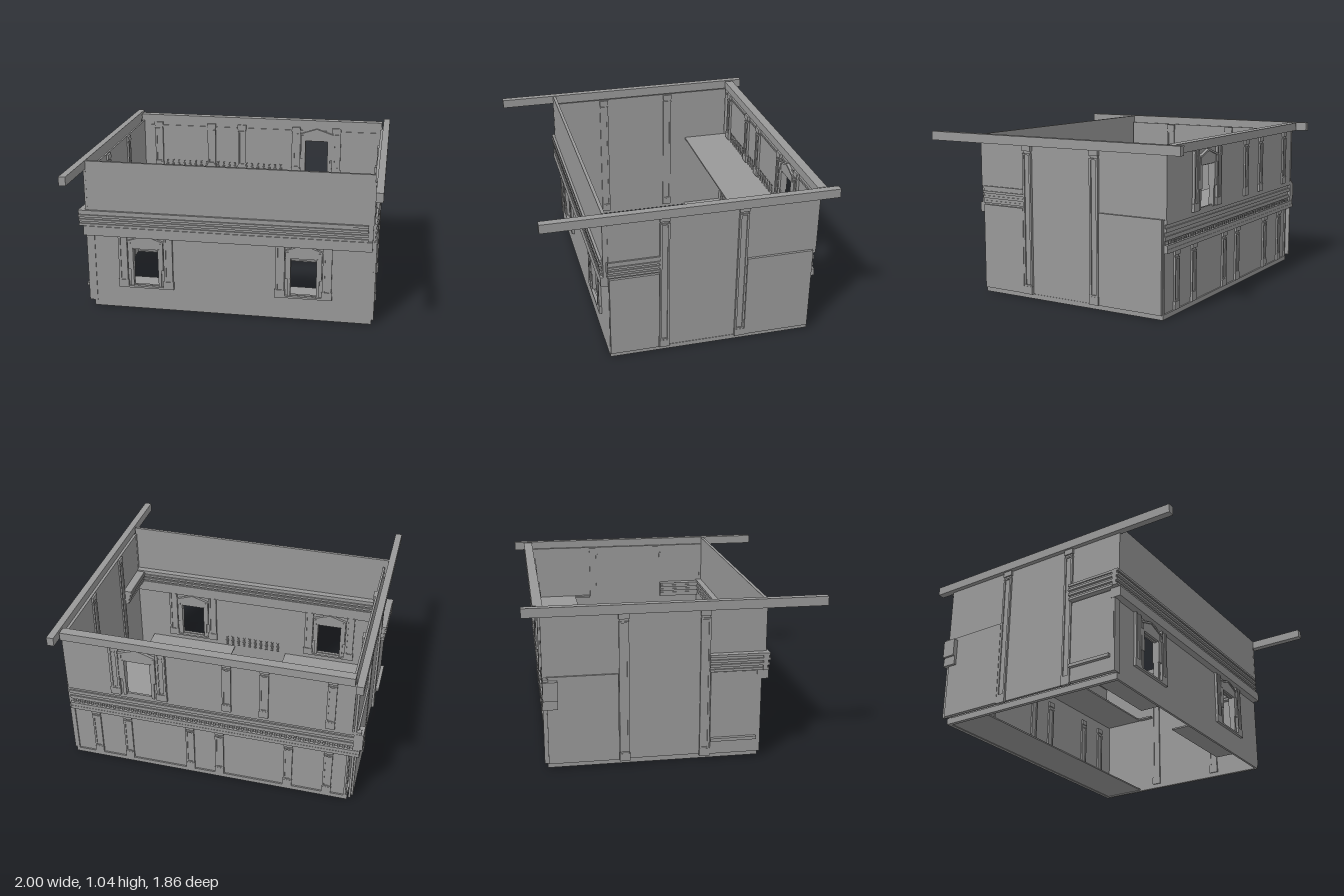
import * as THREE from 'three';

const material = new THREE.MeshStandardMaterial({ color: 0x999999, flatShading: true, side: THREE.DoubleSide });

export function createModel() {
  const model = new THREE.Group();

  // Box given by its limits on each axis
  function box(name, x0, x1, y0, y1, z0, z1, parent = model) {
    const mesh = new THREE.Mesh(new THREE.BoxGeometry(x1 - x0, y1 - y0, z1 - z0), material);
    mesh.position.set((x0 + x1) / 2, (y0 + y1) / 2, (z0 + z1) / 2);
    mesh.name = name;
    parent.add(mesh);
    return mesh;
  }

  // Group whose local +z points out of a wall
  function place(name, x, y, z, turn) {
    const group = new THREE.Group();
    group.name = name;
    group.position.set(x, y, z);
    group.rotation.y = turn;
    model.add(group);
    return group;
  }
  const FRONT = 0, BACK = Math.PI, PLUS_X = Math.PI / 2, MINUS_X = -Math.PI / 2;

  // Wall facing z, with rectangular openings [x0, x1, y0, y1]
  function wall(name, x0, x1, y0, y1, z0, z1, openings = []) {
    const shape = new THREE.Shape();
    shape.moveTo(x0, y0).lineTo(x1, y0).lineTo(x1, y1).lineTo(x0, y1).closePath();
    for (const [a, b, c, d] of openings) {
      const hole = new THREE.Path();
      hole.moveTo(a, c).lineTo(a, d).lineTo(b, d).lineTo(b, c).closePath();
      shape.holes.push(hole);
    }
    const mesh = new THREE.Mesh(new THREE.ExtrudeGeometry(shape, { depth: z1 - z0, bevelEnabled: false }), material);
    mesh.position.z = z0;
    mesh.name = name;
    model.add(mesh);
  }

  // Pilaster: shaft with raised edges, base block and stepped capital
  function pilaster(name, x, y, z, turn, height, width = 0.06, depth = 0.01) {
    const g = place(name, x, y, z, turn);
    const w = width / 2;
    box('shaft', -w * 0.85, w * 0.85, 0, height, -0.003, depth * 0.55, g);
    for (const s of [-1, 1]) {
      const c = s * w * 0.75;
      box('shaftEdge', c - w * 0.2, c + w * 0.2, 0.05, height - 0.05, -0.003, depth, g);
    }
    box('base', -w, w, 0, 0.05, -0.003, depth * 1.2, g);
    box('baseRing', -w * 0.95, w * 0.95, 0.05, 0.06, -0.003, depth * 1.1, g);
    box('capitalNeck', -w * 0.95, w * 0.95, height - 0.06, height - 0.05, -0.003, depth * 1.1, g);
    box('capital', -w, w, height - 0.035, height, -0.003, depth * 1.2, g);
  }

  // Cornice: stepped profile of [out, y] points swept along a wall
  function cornice(name, x, z, turn, length, y0, outs, step) {
    const g = place(name, x, 0, z, turn);
    const points = [[0, y0]];
    outs.forEach((o, i) => points.push([o, y0 + i * step], [o, y0 + (i + 1) * step]));
    points.push([0, y0 + outs.length * step]);
    const shape = new THREE.Shape(points.map(([o, y]) => new THREE.Vector2(o, y)));
    const geo = new THREE.ExtrudeGeometry(shape, { depth: length, bevelEnabled: false });
    geo.translate(0, 0, -length / 2).rotateY(-Math.PI / 2);
    const mesh = new THREE.Mesh(geo, material);
    mesh.name = 'moulding';
    g.add(mesh);
  }

  // Opening surround: pilasters, jambs, sill and a gabled head
  function surround(name, x, y, z, turn, sill = true) {
    const g = place(name, x, y, z, turn);
    for (const s of [-1, 1]) {
      const span = (a, b) => [Math.min(s * a, s * b), Math.max(s * a, s * b)];
      box('sidePilaster', ...span(0.125, 0.185), 0, 0.37, -0.003, 0.01, g);
      for (const a of [0.125, 0.17]) box('sidePilasterEdge', ...span(a, a + 0.015), 0.05, 0.37, -0.003, 0.017, g);
      box('sidePilasterBase', ...span(0.12, 0.19), 0, 0.05, -0.003, 0.018, g);
      box('jamb', ...span(0.085, 0.12), 0.13, 0.28, -0.003, 0.016, g);
      box('lowerJamb', ...span(0.085, 0.105), 0, 0.13, -0.003, 0.01, g);
      box('bracket', ...span(0.1, 0.12), 0.28, 0.32, -0.003, 0.018, g);
    }
    const head = new THREE.Shape();
    head.moveTo(-0.12, 0.30).lineTo(-0.11, 0.275).lineTo(0.11, 0.275).lineTo(0.12, 0.30);
    head.lineTo(0.12, 0.325).lineTo(0, 0.365).lineTo(-0.12, 0.325).closePath();
    const mesh = new THREE.Mesh(new THREE.ExtrudeGeometry(head, { depth: 0.014, bevelEnabled: false }), material);
    mesh.name = 'gabledHead';
    g.add(mesh);
    for (const s of [-1, 1]) {
      const rake = box('rake', -0.065, 0.065, -0.006, 0.006, 0, 0.02, g);
      rake.position.set(s * 0.06, 0.345, 0.01);
      rake.rotation.z = -s * 0.32;
    }
    if (sill) box('sill', -0.19, 0.19, -0.005, 0.008, -0.003, 0.018, g);
  }

  // Row of small turned balusters
  function balustrade(name, x, y, z, turn, length, count) {
    const g = place(name, x, y, z, turn);
    const outline = [[0.01, 0], [0.006, 0.015], [0.011, 0.035], [0.005, 0.06], [0.01, 0.075]]
      .map(([r, h]) => new THREE.Vector2(r, h));
    const geo = new THREE.LatheGeometry(outline, 8);
    for (let i = 0; i < count; i++) {
      const mesh = new THREE.Mesh(geo, material);
      mesh.position.x = (i / (count - 1) - 0.5) * length;
      mesh.name = 'baluster';
      g.add(mesh);
    }
  }

  // Front wall: lower storey with two windows, plain upper storey
  const windows = [-0.56, 0.5];
  wall('frontLowerWall', -0.925, 0.945, 0, 0.6, 0.51, 0.525,
    windows.map((x) => [x - 0.085, x + 0.085, 0.16, 0.43]));
  wall('frontUpperWall', -0.95, 0.94, 0.59, 1.035, 0.535, 0.555);
  for (const x of windows) {
    surround('frontWindowSurround', x, 0.16, 0.525, FRONT);
    surround('innerWindowSurround', x, 0.16, 0.51, BACK);
  }
  box('frontCornerStrip', -0.965, -0.91, 0.04, 0.53, 0.505, 0.53);

  // Front cornice, outside and inside, with side returns
  box('frontFascia', -0.97, 0.94, 0.525, 0.59, 0.5, 0.572);
  const frontSteps = [0.036, 0.026, 0.04, 0.03, 0.045, 0.034, 0.042];
  cornice('frontCornice', -0.045, 0.53, FRONT, 1.91, 0.59, frontSteps, 0.0157);
  cornice('frontInnerCornice', 0.01, 0.535, BACK, 1.84, 0.59, frontSteps, 0.0157);
  cornice('rightCorniceReturn', -0.955, 0.365, MINUS_X, 0.33, 0.59, frontSteps, 0.0157);
  cornice('leftCorniceReturn', 0.945, 0.365, PLUS_X, 0.33, 0.59,
    [0.014, 0.009, 0.017, 0.01, 0.02, 0.012, 0.016], 0.0157);
  cornice('leftInnerCorniceReturn', 0.935, 0.36, MINUS_X, 0.32, 0.58,
    [0.035, 0.045, 0.04, 0.055, 0.05, 0.065, 0.06], 0.0157);
  box('rightSideSill', -0.99, -0.94, 0.13, 0.15, 0.21, 0.5);

  // Back wall: lower storey, upper storey with a doorway
  wall('backLowerWall', -0.925, 0.945, 0, 0.6, -0.79, -0.775);
  wall('backUpperWall', -0.93, 0.945, 0.57, 1.0, -0.82, -0.806, [[0.365, 0.535, 0.61, 0.87]]);
  surround('backDoorSurround', 0.45, 0.6, -0.82, BACK, false);
  surround('innerDoorSurround', 0.45, 0.6, -0.806, FRONT, false);
  for (const x of [-0.79, -0.37, -0.13, 0.29, 0.6]) {
    pilaster('backUpperPilaster', x, 0.6, -0.82, BACK, 0.38, 0.06, 0.011);
    pilaster('innerUpperPilaster', x, 0.61, -0.806, FRONT, 0.37, 0.065, 0.016);
  }
  for (const x of [-0.79, -0.53, -0.07, 0.13, 0.56, 0.78]) {
    pilaster('backLowerPilaster', x, 0.03, -0.79, BACK, 0.37, 0.06, 0.012);
    pilaster('innerLowerPilaster', x, 0.03, -0.775, FRONT, 0.5, 0.06, 0.012);
  }
  box('backTopTrim', -0.925, 0.94, 0.98, 1.035, -0.86, -0.8);
  box('innerPictureRail', -0.9, 0.93, 0.945, 0.955, -0.808, -0.799);

  // Back cornice with dentils and an end return
  cornice('backCornice', -0.02, -0.785, BACK, 1.93, 0.4,
    [0.04, 0.038, 0.018, 0.026, 0.018, 0.03, 0.02, 0.033], 0.0245);
  box('backCorniceReturn', -1, -0.94, 0.46, 0.58, -0.82, -0.73);
  box('backCorniceReturnStep', -0.985, -0.94, 0.4, 0.46, -0.82, -0.73);
  for (let i = 0; i < 60; i++) {
    const x = -0.92 + i * 0.031;
    box('dentil', x, x + 0.015, 0.452, 0.468, -0.815, -0.785);
  }

  // Side walls: single left wall, double-skinned right wall
  box('leftWall', 0.932, 0.95, 0, 0.985, -0.8, 0.525);
  box('leftWallFrontUpper', 0.93, 0.945, 0.7, 0.985, 0.52, 0.556);
  box('leftWallBackUpper', 0.93, 0.95, 0.6, 0.985, -0.82, -0.79);
  box('rightOuterWall', -0.955, -0.94, 0.04, 0.985, -0.82, 0.525);
  box('rightInnerWall', -0.918, -0.905, 0, 0.985, -0.8, 0.525);
  box('rightWallFrontUpper', -0.955, -0.94, 0.7, 0.985, 0.52, 0.556);

  // Thicker lower panels of the side walls, either side of the middle bay
  for (const [z0, z1, top] of [[0.21, 0.523, 0.58], [-0.795, -0.36, 0.602]]) {
    box('leftLowerPanel', 0.945, 0.966, 0.03, top, z0, z1);
    box('rightLowerPanel', -0.967, -0.95, 0.04, top, z0, z1);
  }
  for (const z of [-0.325, 0.175]) {
    pilaster('leftWallPilaster', 0.95, 0.03, z, PLUS_X, 0.95, 0.065, 0.018);
    pilaster('leftInnerPilaster', 0.932, 0.03, z, MINUS_X, 0.95, 0.065, 0.01);
    pilaster('rightWallPilaster', -0.955, 0.03, z, MINUS_X, 0.95, 0.065, 0.014);
    pilaster('rightInnerPilaster', -0.905, 0.03, z, PLUS_X, 0.95, 0.065, 0.012);
  }

  // Plinth around the foot of the walls
  box('leftPlinth', 0.93, 0.953, 0, 0.03, -0.8, 0.525);
  box('rightPlinth', -0.93, -0.905, 0, 0.04, -0.8, 0.525);
  box('backPlinth', -0.925, 0.95, 0, 0.03, -0.8, -0.775);

  // Gallery with its side bracket, ground floor strip and two front ledges
  box('gallery', -0.905, 0.925, 0.59, 0.602, -0.81, -0.475);
  box('gallerySideBracket', 0.9, 0.932, 0.59, 0.602, -0.475, -0.36);
  box('floorStrip', -0.905, 0.925, 0.005, 0.015, -0.79, -0.475);
  box('frontLedgeRight', -0.885, -0.23, 0.105, 0.115, 0.255, 0.512);
  box('frontLedgeLeft', 0.17, 0.83, 0.105, 0.115, 0.255, 0.512);
  balustrade('galleryBalusters', -0.3, 0.602, -0.808, FRONT, 0.95, 22);
  balustrade('frontBalusters', 0.03, 0.13, 0.506, BACK, 0.4, 10);

  // Long roof beams
  box('rightBeam', -0.985, -0.94, 0.98, 1.038, -0.93, 0.93);
  box('leftBeam', 0.95, 0.996, 0.98, 1.038, -0.93, 0.93);

  return model;
}
